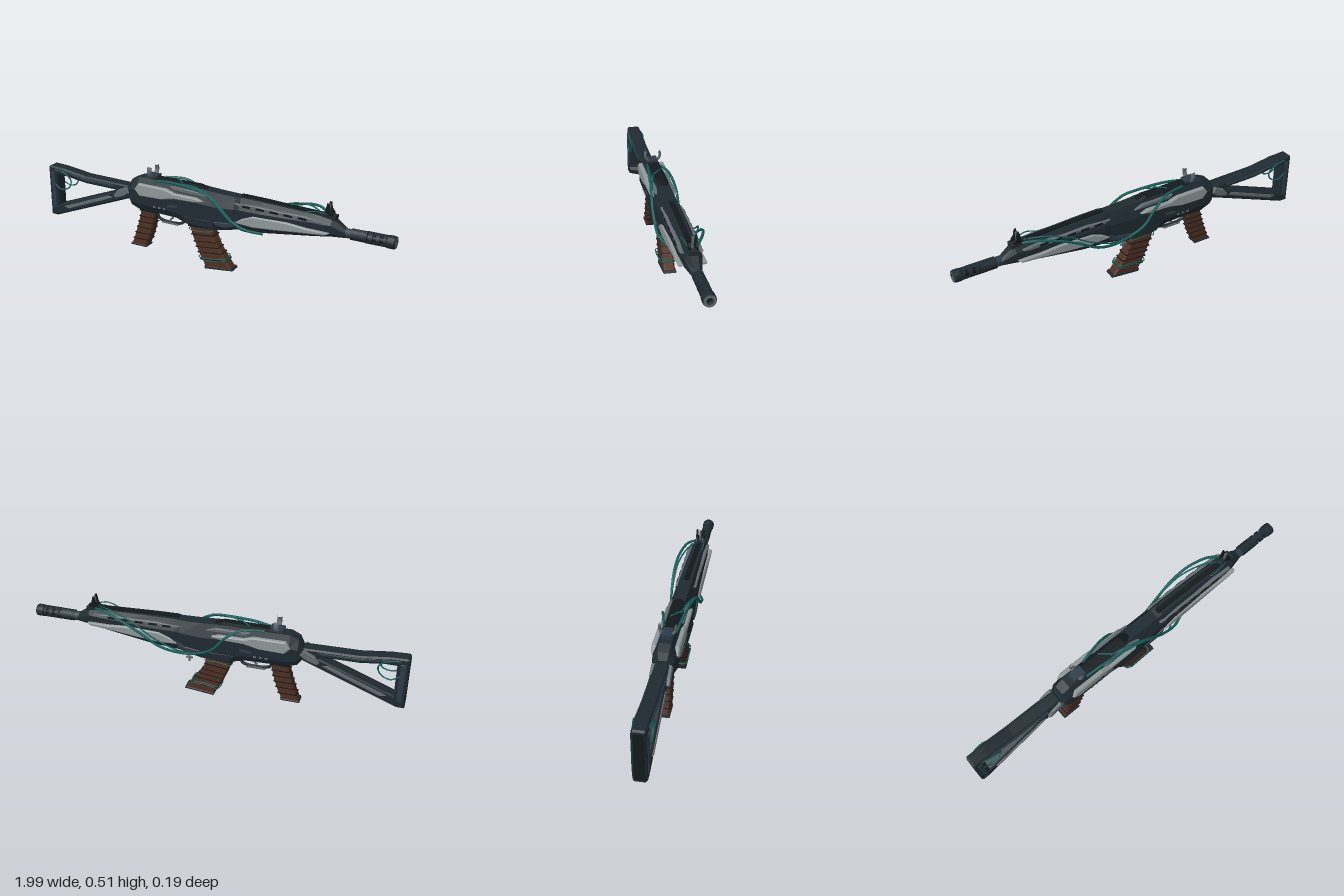
import * as THREE from 'three';

const paint = (name, color) => Object.assign(new THREE.MeshStandardMaterial({ color }), { name });

export function createModel() {
  const dark = paint('gunmetal', 0x1f2a31), slate = paint('slate', 0x2c3b47);
  const black = paint('nearBlack', 0x12181c), light = paint('lightSteel', 0x8f9799);
  const grey = paint('midGrey', 0x626a70), brown = paint('brownGrip', 0x4f3022);
  const teal = paint('tealCable', 0x14605c);
  const root = new THREE.Group(), gun = new THREE.Group();
  root.name = 'rifle';
  gun.name = 'rifleBody';
  gun.position.z = 0.011;
  root.add(gun);

  const add = (name, geo, mat, x = 0, y = 0, z = 0) => {
    const m = new THREE.Mesh(geo, mat);
    m.name = name;
    m.position.set(x, y, z);
    gun.add(m);
    return m;
  };
  const box = (name, w, h, d, mat, x, y, z, tilt = 0) => {
    const m = add(name, new THREE.BoxGeometry(w, h, d), mat, x, y, z);
    m.rotation.z = tilt;
    return m;
  };
  // side profile extruded symmetrically about z
  const slab = (name, pts, depth, mat, z = 0, bevel = 0.006, holes = []) => {
    const shape = new THREE.Shape(pts.map(p => new THREE.Vector2(...p)));
    holes.forEach(h => shape.holes.push(new THREE.Path(h.map(p => new THREE.Vector2(...p)))));
    const geo = new THREE.ExtrudeGeometry(shape, {
      depth: depth - 2 * bevel, bevelEnabled: bevel > 0, bevelThickness: bevel,
      bevelSize: bevel, bevelOffset: -bevel, bevelSegments: 1,
    });
    geo.translate(0, 0, -depth / 2 + bevel);
    return add(name, geo, mat, 0, 0, z);
  };
  const tube = (name, pts, r, mat, closed = false) => add(name, new THREE.TubeGeometry(
    new THREE.CatmullRomCurve3(pts.map(p => new THREE.Vector3(...p)), closed), 16 * pts.length, r, 6, closed), mat);
  const rod = (name, x0, x1, r, mat, sides = 12) => {
    const geo = new THREE.CylinderGeometry(r, r, x1 - x0, sides).rotateZ(Math.PI / 2);
    return add(name, geo, mat, (x0 + x1) / 2, 0.347, 0);
  };
  // chamfered hull through [x, bottom, top, halfWidth] sections
  const profile = [[-.7, 0], [.7, 0], [1, .2], [1, .66], [.5, 1], [-.5, 1], [-1, .66], [-1, .2]];
  const hull = (name, sections, mat) => {
    const rings = sections.map(([x, b, t, w]) => profile.map(([u, v]) => [x, b + (t - b) * v, u * w]));
    const pos = [], n = profile.length;
    const tri = (...p) => p.forEach(q => pos.push(...q));
    for (let s = 0; s < rings.length - 1; s++) {
      for (let i = 0; i < n; i++) {
        const j = (i + 1) % n, A = rings[s], B = rings[s + 1];
        tri(A[i], B[i], B[j]);
        tri(A[i], B[j], A[j]);
      }
    }
    const first = rings[0], last = rings[rings.length - 1];
    for (let i = 1; i < n - 1; i++) {
      tri(first[0], first[i], first[i + 1]);
      tri(last[0], last[i + 1], last[i]);
    }
    const geo = new THREE.BufferGeometry();
    geo.setAttribute('position', new THREE.Float32BufferAttribute(pos, 3));
    geo.computeVertexNormals();
    return add(name, geo, mat);
  };

  // receiver and handguard
  hull('receiver', [[-.465, .31, .39, .04], [-.445, .285, .425, .054], [-.40, .27, .445, .06], [-.17, .262, .445, .06],
    [-.09, .237, .447, .061], [.06, .237, .437, .06], [.17, .262, .433, .058]], dark);
  hull('handguard', [[.16, .262, .43, .054], [.2, .268, .437, .06], [.32, .276, .434, .06], [.6, .314, .422, .05],
    [.68, .326, .415, .042], [.75, .328, .366, .024]], dark);
  hull('topCover', [[-.36, .435, .448, .02], [-.3, .435, .455, .03], [-.05, .435, .455, .03], [0, .43, .44, .025]], black);
  box('handguardRail', .42, .012, .026, black, .4, .431, 0, -.035);
  box('coverMark', .07, .003, .008, teal, -.16, .456, .008).rotation.y = -.7;

  // side panels, mirrored
  for (const s of [1, -1]) {
    slab('receiverPanel', [[-.41, .385], [-.385, .42], [-.22, .418], [-.17, .402], [-.04, .4], [0, .388],
      [-.05, .375], [-.17, .372], [-.25, .355], [-.38, .352]], .026, light, s * .056);
    slab('receiverTrim', [[-.2, .432], [-.02, .43], [.03, .412], [-.02, .408], [-.18, .413]], .02, grey, s * .043, .004);
    slab('handguardPanel', [[.18, .31], [.22, .338], [.28, .362], [.46, .366], [.56, .356], [.68, .352],
      [.66, .338], [.52, .325], [.4, .312], [.28, .302]], .024, light, s * .055);
    slab('handguardTrim', [[.17, .408], [.3, .415], [.42, .41], [.55, .412], [.65, .398], [.62, .385],
      [.5, .386], [.4, .394], [.2, .392]], .02, grey, s * .044, .004);
    for (let i = 0; i < 5; i++) box('coolingSlot', .045, .01, .006, black, .24 + i * .075, .402 - i * .001, s * .054, -.04);
    slab('lowerPlate', [[.06, .29], [.14, .3], [.19, .325], [.18, .288], [.13, .27], [.07, .272]], .01, slate, s * .06, .003);
    slab('magazineHousing', [[-.12, .29], [.04, .29], [.06, .25], [-.1, .25]], .012, dark, s * .056, .003);
    for (let i = 0; i < 3; i++) box('rivet', .014, .009, .006, grey, -.29 + i * .03, .305, s * .06);
    box('selector', .06, .012, .01, slate, -.18, .33, s * .062, .12);
  }

  // barrel and muzzle brake
  rod('barrel', .72, .97, .019, black);
  rod('gasCollar', .775, .855, .03, dark, 8);
  rod('collarBand', .74, .775, .025, slate, 8);
  [[.862, .882], [.9, .918], [.936, .948]].forEach(([a, b]) => rod('brakeRing', a, b, .029, dark));
  for (const y of [-1, 1]) box('brakeSpine', .11, .012, .03, dark, .9, .347 + y * .02, 0);
  const tip = [[.016, 0], [.03, 0], [.032, .006], [.032, .034], [.029, .042], [.016, .042], [.016, 0]];
  add('muzzle', new THREE.LatheGeometry(tip.map(p => new THREE.Vector2(...p)), 16).rotateZ(-Math.PI / 2), dark, .95, .347, 0);
  add('muzzleFace', new THREE.RingGeometry(.016, .029, 20).rotateY(Math.PI / 2), grey, .9935, .347, 0);

  // front sight: two guards and a post
  for (const s of [1, -1]) {
    slab('frontSightGuard', [[.615, .405], [.685, .4], [.678, .44], [.665, .455], [.66, .485], [.65, .487], [.64, .445]],
      .01, black, s * .017, .002);
  }
  box('frontSightPost', .014, .075, .008, grey, .655, .442, 0);
  box('frontSightBase', .09, .02, .05, dark, .65, .415, 0);

  // rear sight: ring open at the top
  for (const s of [1, -1]) {
    const claw = add('rearSightClaw', new THREE.TorusGeometry(.04, .007, 8, 14, 1.75), grey, -.33, .488, 0);
    claw.geometry.rotateZ(-1.2).rotateY(-s * Math.PI / 2);
    claw.scale.x = 1.9;
  }
  box('rearSightBase', .07, .02, .05, slate, -.33, .455, 0);

  // folding stock
  slab('stockFrame', [[-.995, .405], [-.985, .412], [-.9, .408], [-.75, .388], [-.47, .382], [-.45, .34], [-.47, .31],
    [-.955, .122], [-.995, .122]], .07, dark, 0, .008,
    [[[-.935, .365], [-.935, .188], [-.55, .335], [-.55, .345], [-.75, .348], [-.88, .365]]]);
  box('buttPlate', .012, .26, .05, black, -.99, .265, 0);
  for (const s of [1, -1]) {
    slab('stockLowerPanel', [[-.9, .187], [-.6, .305], [-.57, .3], [-.62, .277], [-.87, .178]], .008, grey, s * .036, .002);
    slab('stockUpperPanel', [[-.9, .398], [-.75, .378], [-.55, .372], [-.56, .362], [-.75, .364], [-.88, .386]], .008, slate, s * .036, .002);
    slab('buttPanel', [[-.978, .38], [-.952, .38], [-.952, .17], [-.978, .16]], .008, slate, s * .036, .002);
    slab('hinge', [[-.555, .318], [-.53, .352], [-.475, .378], [-.455, .35], [-.49, .325], [-.545, .305]], .022, grey, s * .04, .004);
    tube('stockCable', [[-.95, .395, s * .035], [-.89, .39, s * .042], [-.845, .35, s * .036], [-.86, .305, s * .034],
      [-.91, .288, s * .04], [-.955, .31, s * .035]], .004, teal);
  }

  // curved grip and magazine with wrapped bands
  const wrapped = (name, left, right, depth, bands) => {
    const [L, R] = [left, right].map(e => new THREE.SplineCurve(e.map(p => new THREE.Vector2(...p))));
    const part = (label, t0, t1, grow, mat, bevel) => {
      const steps = [0, .25, .5, .75, 1].map(k => t0 + (t1 - t0) * k);
      const a = steps.map(t => L.getPoint(t)), b = steps.map(t => R.getPoint(t)).reverse();
      slab(label, [...a.map(p => [p.x - grow, p.y]), ...b.map(p => [p.x + grow, p.y])], depth + 2 * grow, mat, 0, bevel);
    };
    part(name, 0, 1, 0, brown, .008);
    part(name + 'Collar', 0, .1, .005, black, .003);
    part(name + 'Foot', .93, 1, .004, dark, .003);
    for (let i = 1; i <= bands; i++) {
      const t = .1 + .83 * i / (bands + 1);
      part(name + 'Band', t - .009, t + .009, .002, black, 0);
    }
    return (t, grow) => {
      const a = L.getPoint(t), b = R.getPoint(t), z = depth / 2 + grow;
      tube(name + 'Cord', [[a.x - grow, a.y, 0], [a.x, a.y, z], [(a.x + b.x) / 2, (a.y + b.y) / 2 - .006, z + .004], [b.x, b.y, z],
        [b.x + grow, b.y, 0], [b.x, b.y, -z], [(a.x + b.x) / 2, (a.y + b.y) / 2 + .006, -z - .004], [a.x, a.y, -z]], .0025, teal, true);
    };
  };
  wrapped('grip', [[-.395, .27], [-.41, .2], [-.435, .12], [-.462, .045]],
    [[-.308, .27], [-.318, .2], [-.34, .12], [-.372, .045]], .056, 5);
  const cord = wrapped('magazine', [[-.105, .245], [-.075, .155], [-.045, .085], [0, .002]],
    [[.03, .25], [.052, .17], [.093, .1], [.152, .02]], .06, 5);
  cord(.14, .007);
  cord(.74, .008);
  cord(.78, .006);

  // trigger group
  tube('triggerGuard', [[-.31, .262, 0], [-.3, .225, 0], [-.27, .212, 0], [-.18, .212, 0], [-.15, .225, 0], [-.145, .262, 0]], .008, dark);
  box('triggerGuardPlate', .1, .008, .026, grey, -.225, .207, 0);
  tube('trigger', [[-.22, .265, 0], [-.215, .24, 0], [-.23, .222, 0]], .006, grey);

  // loose cables
  tube('frontCable', [[-.3, .44, .035], [-.2, .452, .045], [-.06, .448, .06], [.03, .432, .073], [.1, .38, .08],
    [.17, .32, .08], [.25, .288, .076], [.33, .272, .045]], .007, teal);
  tube('frontThinCable', [[-.14, .448, .03], [-.05, .455, .05], [.06, .422, .074], [.15, .345, .08], [.22, .283, .07], [.28, .268, .03]], .004, teal);
  tube('backCable', [[.64, .425, -.025], [.58, .435, -.06], [.48, .415, -.09], [.38, .37, -.1], [.27, .3, -.094],
    [.17, .27, -.078], [.08, .272, -.066], [-.01, .32, -.078], [-.08, .4, -.074], [-.16, .446, -.056], [-.27, .447, -.03]], .007, teal);
  tube('backThinCable', [[.63, .42, .005], [.55, .436, -.04], [.42, .41, -.08], [.3, .34, -.09], [.18, .285, -.08], [.1, .262, -.058]], .004, teal);
  tube('frontSightCord', [[.655, .43, .02], [.6, .44, .03], [.55, .428, .03], [.52, .418, .02]], .003, teal);

  // hanging charm
  tube('charmCord', [[.11, .285, -.066], [.115, .27, -.073], [.112, .255, -.073]], .002, teal);
  box('charmUpright', .008, .04, .008, grey, .112, .247, -.073);
  box('charmCrossbar', .034, .008, .008, grey, .112, .249, -.073);

  return root;
}
